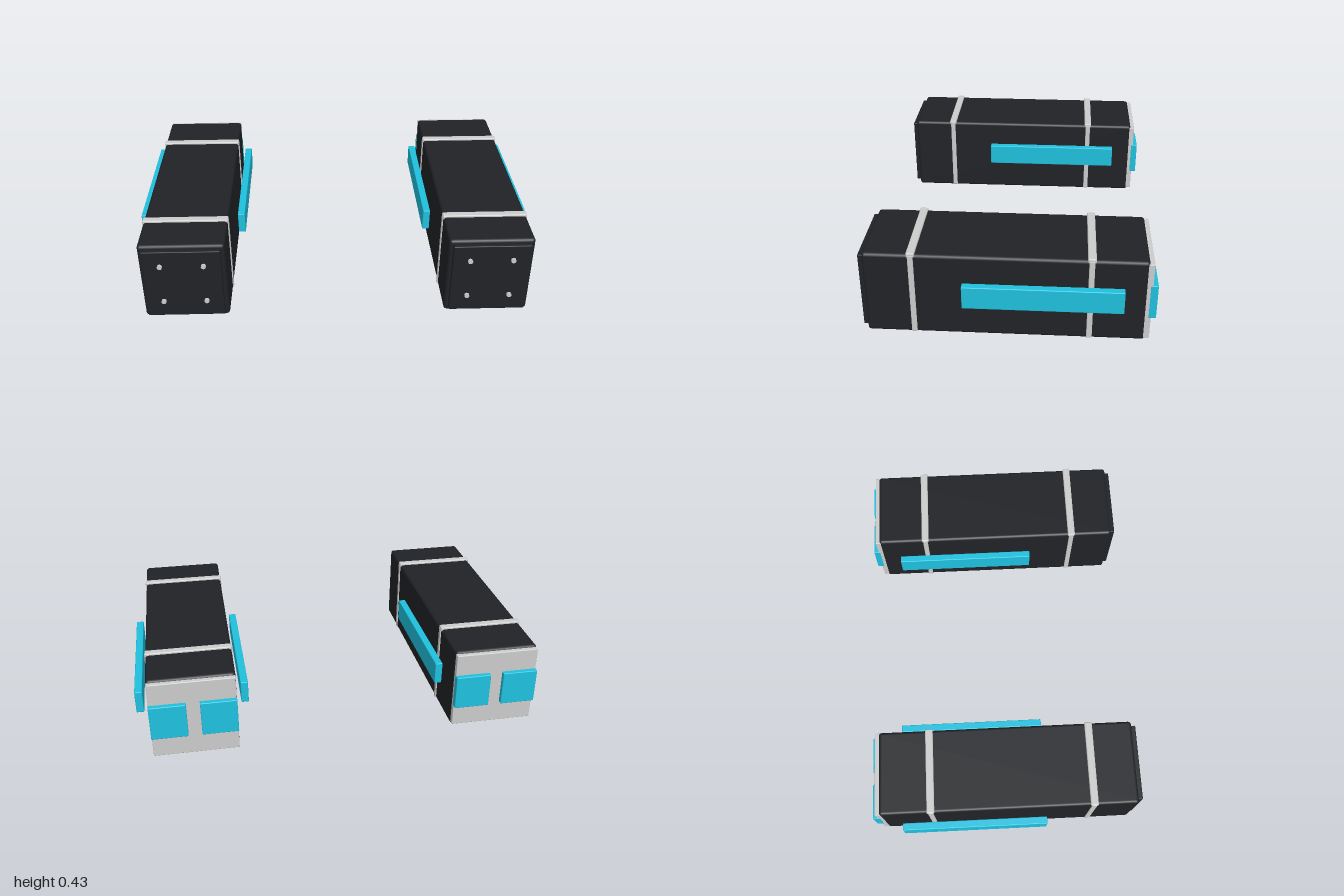
import * as THREE from 'three';
import { RoundedBoxGeometry } from 'three/addons/geometries/RoundedBoxGeometry.js';

const material = (color) => new THREE.MeshStandardMaterial({ color });
const black = material(0x202226);
const cyan = material(0x1fc0de);
const grey = material(0xcccccc);

// Soft-edged box given by its limits on each axis.
function block(parent, name, mat, [x0, x1], [y0, y1], [z0, z1], radius = 0.004) {
  const geometry = new RoundedBoxGeometry(x1 - x0, y1 - y0, z1 - z0, 2, radius);
  const mesh = new THREE.Mesh(geometry, mat);
  mesh.position.set((x0 + x1) / 2, (y0 + y1) / 2, (z0 + z1) / 2);
  mesh.name = name;
  parent.add(mesh);
}

// One long pod, centred on its own x = 0.
function createPod() {
  const pod = new THREE.Group();
  block(pod, 'podBody', black, [-0.205, 0.205], [0, 0.415], [-0.63, 0.638], 0.015);

  // Front cover with four bolts
  block(pod, 'frontCover', black, [-0.185, 0.185], [0.02, 0.395], [0.62, 0.66]);
  const boltGeometry = new THREE.CylinderGeometry(0.012, 0.012, 0.02, 12).rotateX(Math.PI / 2);
  for (const x of [-0.103, 0.103]) {
    for (const y of [0.11, 0.315]) {
      const bolt = new THREE.Mesh(boltGeometry, grey);
      bolt.position.set(x, y, 0.662);
      bolt.name = 'coverBolt';
      pod.add(bolt);
    }
  }

  // Bands over the top and down both sides
  for (const z of [-0.378, 0.42]) {
    block(pod, 'bandTop', grey, [-0.208, 0.208], [0.403, 0.425], [z - 0.019, z + 0.019], 0.006);
    for (const s of [-1, 1]) {
      const x = s * 0.202;
      block(pod, 'bandSide', grey, [x - 0.008, x + 0.008], [0.004, 0.415], [z - 0.013, z + 0.013]);
    }
  }

  // Rear plate with two glowing panels
  block(pod, 'rearPlate', grey, [-0.203, 0.203], [0.012, 0.405], [-0.65, -0.62]);
  for (const s of [-1, 1]) {
    const x = s * 0.118;
    block(pod, 'rearPanel', cyan, [x - 0.086, x + 0.086], [0.122, 0.296], [-0.673, -0.638]);

    // Side strips standing clear of the body
    const strip = s * 0.249;
    block(pod, 'sideStrip', cyan, [strip - 0.018, strip + 0.018], [0.184, 0.296], [-0.525, 0.192]);
  }
  return pod;
}

export function createModel() {
  const model = new THREE.Group();
  model.name = 'podPair';
  for (const [name, x] of [['rightPod', -0.733], ['leftPod', 0.733]]) {
    const pod = createPod();
    pod.name = name;
    pod.position.x = x;
    model.add(pod);
  }
  return model;
}
